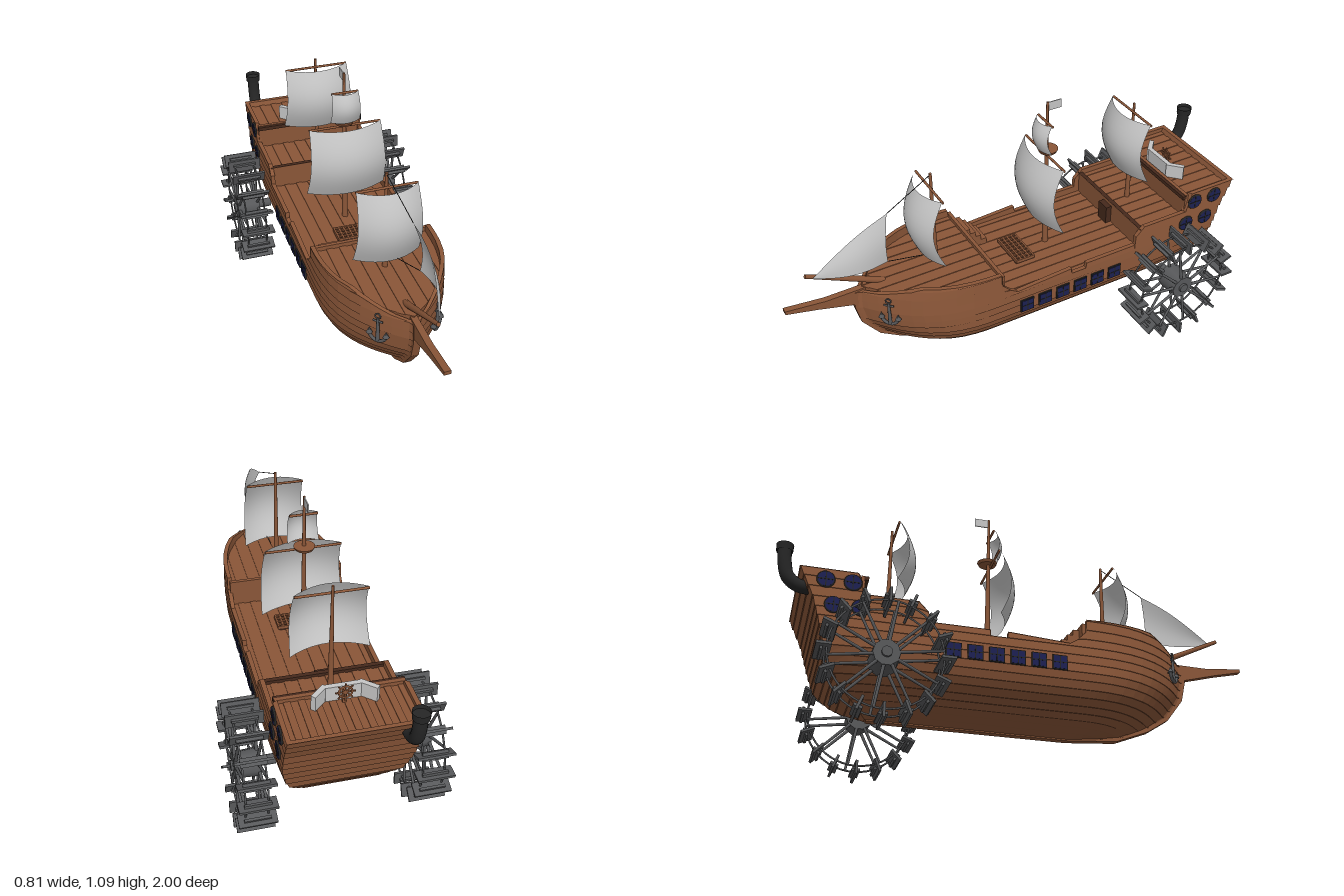
import * as THREE from 'three';
import { ParametricGeometry } from 'three/addons/geometries/ParametricGeometry.js';

const mat = (name, color, side = THREE.FrontSide) => {
  const m = new THREE.MeshStandardMaterial({ color, side });
  m.name = name;
  return m;
};
const V = (x, y, z) => new THREE.Vector3(x, y, z);

// Linear interpolation in a table of [key, value] pairs
function table(rows, k) {
  if (k <= rows[0][0]) return rows[0][1];
  for (let i = 1; i < rows.length; i++) {
    const [a, va] = rows[i - 1], [b, vb] = rows[i];
    if (k <= b) return va + (vb - va) * (k - a) / (b - a);
  }
  return rows[rows.length - 1][1];
}

// Hull lines: stern and bow reach, half width by height, top edge by length
const STERN = [[.125, -.6], [.2, -.716], [.29, -.786], [.5, -.85], [.62, -.907]];
const BOW = [[.125, .2], [.147, .41], [.2, .54], [.26, .63], [.345, .7], [.43, .72], [.5, .715], [.56, .7]];
const WIDTH = [[.125, .012], [.17, .11], [.22, .18], [.27, .222], [.32, .24], [.4, .245]];
const SHEER = [[-.905, .615], [-.69, .615], [-.688, .53], [-.46, .53], [-.42, .49], [-.418, .45], [-.18, .45],
  [-.178, .425], [-.112, .425], [-.11, .45], [.14, .435], [.17, .455], [.205, .49], [.21, .545], [.4, .55],
  [.52, .555], [.6, .53], [.66, .51], [.72, .5]];
const BEND = 2.8;

function hullPoint(zc, row, out) {
  const y = Math.min(row, table(SHEER, zc)), w = table(WIDTH, y);
  const zb = table(BOW, y), zs = table(STERN, y);
  let z = zc, x = w;
  if (zc > .2) {
    const q = (zc - .2) / .52;
    z = .2 + q * (zb - .2);
    x = Math.max(.012, w * (1 - q ** BEND));
  } else if (zc < -.45) {
    const q = (zc + .45) / -.455;
    z = -.45 + q * (zs - out + .45);
    x = w * (1 - Math.max(0, .4 - y) * .8 * q * q);
  }
  return V(Math.max(.004, x + out), y, z);
}

// Closed rings of lapped strakes, finished with a rail cap and an inner wall
function hullGeometry() {
  const zs = [...SHEER.map(p => p[0]), -.8, -.6, .27, .33, .46, .56, .63, .69, .705].sort((a, b) => a - b);
  const ys = [.125, .14, .155, .17, .19, .21, .235, .26, .29, .32, .355, .39, .425, .46, .5, .54, .58, .62];
  const rows = [];
  for (let i = 0; i < ys.length - 1; i++) rows.push([ys[i], .004], [ys[i + 1], 0]);
  rows.push([.62, .004], [.62, -.014], [.4, -.014]);
  const pos = [], idx = [], n = zs.length * 2;
  for (const [y, out] of rows) {
    const side = zs.map(z => hullPoint(z, y, out));
    side.forEach(p => pos.push(p.x, p.y, p.z));
    side.reverse().forEach(p => pos.push(-p.x, p.y, p.z));
  }
  for (let r = 0; r < rows.length - 1; r++) for (let i = 0; i < n; i++) {
    const a = r * n + i, b = r * n + (i + 1) % n;
    idx.push(a, a + n, b, b, a + n, b + n);
  }
  const g = new THREE.BufferGeometry();
  g.setAttribute('position', new THREE.Float32BufferAttribute(pos, 3));
  g.setIndex(idx);
  const flat = g.toNonIndexed();
  flat.computeVertexNormals();
  return flat;
}

export function createModel() {
  const ship = new THREE.Group();
  ship.name = 'paddleShip';
  const wood = mat('wood', 0x8a5638, THREE.DoubleSide), darkWood = mat('darkWood', 0x45291c);
  const cloth = mat('cloth', 0xc6c6c6, THREE.DoubleSide), metal = mat('metal', 0x58595b);
  const black = mat('blackIron', 0x262626, THREE.DoubleSide), glass = mat('glass', 0x1c2052);

  const add = (name, geo, m, x = 0, y = 0, z = 0, parent = ship) => {
    const mesh = new THREE.Mesh(geo, m);
    mesh.name = name;
    mesh.position.set(x, y, z);
    parent.add(mesh);
    return mesh;
  };
  const box = (name, m, w, h, d, x, y, z, parent) => add(name, new THREE.BoxGeometry(w, h, d), m, x, y, z, parent);
  const rod = (name, m, a, b, r0, r1 = r0, parent = ship) => {
    const d = b.clone().sub(a), c = a.clone().add(b).multiplyScalar(.5);
    const mesh = add(name, new THREE.CylinderGeometry(r1, r0, d.length(), 10), m, c.x, c.y, c.z, parent);
    mesh.quaternion.setFromUnitVectors(V(0, 1, 0), d.normalize());
    return mesh;
  };
  const group = (name, x, y, z, parent = ship) => {
    const g = new THREE.Group();
    g.name = name;
    g.position.set(x, y, z);
    parent.add(g);
    return g;
  };
  // Upright plate from a [z, y] outline
  const plate = (name, m, pts, width) => {
    const g = new THREE.ExtrudeGeometry(new THREE.Shape(pts.map(p => new THREE.Vector2(...p))), { depth: width, bevelEnabled: false });
    add(name, g.rotateY(-Math.PI / 2).translate(width / 2, 0, 0), m);
  };

  // Hull, stem, keel and beak
  add('hull', hullGeometry(), wood);
  plate('stemAndKeel', wood, [[.725, .5], [.732, .43], [.712, .345], [.642, .252], [.55, .192], [.41, .137], [.2, .12],
    [-.6, .12], [-.6, .14], [.2, .14], [.41, .17], [.53, .23], [.62, .3], [.67, .38], [.69, .5]], .03);
  plate('beak', wood, [[.69, .43], [.8, .46], [.88, .482], [1, .51], [1, .525], [.84, .508], [.66, .51]], .026);
  rod('bowsprit', wood, V(0, .505, .6), V(0, .648, .902), .014, .008);

  // Decks of fore-and-aft planks, alternate ones slightly proud
  const deck = (name, y, z0, z1) => {
    const g = group(name, 0, 0, 0), n = 18, half = .236;
    const front = x => Math.min(z1, .2 + (1 - Math.min(1, Math.abs(x) / .24)) ** (1 / BEND) * (table(BOW, y) - .22));
    for (let i = 0; i < n; i++) {
      const a = -half + 2 * half * i / n, b = a + 2 * half / n;
      const s = new THREE.Shape([[a, -z0], [a, -front(a)], [b, -front(b)], [b, -z0]].map(p => new THREE.Vector2(...p)));
      const geo = new THREE.ExtrudeGeometry(s, { depth: .02, bevelEnabled: false }).rotateX(-Math.PI / 2);
      add('deckPlank', geo, wood, 0, y - .02 - (i % 2) * .003, 0, g);
    }
  };
  deck('mainDeck', .42, -.45, .2);
  deck('foreDeck', .515, .2, .7);
  deck('quarterDeck', .505, -.69, -.45);
  deck('poopDeck', .597, -.885, -.67);
  box('foreBulkhead', wood, .48, .13, .015, 0, .465, .2);
  box('quarterBulkhead', wood, .48, .11, .015, 0, .46, -.45);
  box('poopBulkhead', wood, .48, .12, .015, 0, .55, -.672);
  box('quarterBeam', darkWood, .485, .016, .018, 0, .508, -.452);
  box('poopBeam', darkWood, .485, .016, .018, 0, .6, -.66);
  box('cabinDoor', darkWood, .06, .08, .03, 0, .46, -.432);
  for (let i = 0; i < 4; i++) box('foreStep', wood, .1, .024 * (i + 1), .025, -.155, .42 + .012 * (i + 1), .105 + i * .025);

  // Hatch grating
  box('hatchWell', darkWood, .165, .012, .085, 0, .423, .01);
  for (let i = 0; i < 9; i++) box('hatchBar', wood, .007, .012, .085, -.08 + i * .02, .43, .01);
  for (let i = 0; i < 5; i++) box('hatchBar', wood, .165, .012, .007, 0, .43, -.029 + i * .0195);

  // Masts, yards and billowing square sails
  const sail = (name, z, y0, y1, bottom, top, curve, billow) => {
    const g = new THREE.PlaneGeometry(2, 1, 14, 12), p = g.attributes.position;
    for (let i = 0; i < p.count; i++) {
      const u = p.getX(i), v = p.getY(i) + .5;
      p.setXYZ(i, u * (bottom + (top - bottom) * v), y0 + (y1 - y0) * v,
        z + .012 + curve * (1 - u * u) + billow * Math.sin(Math.PI * v));
    }
    g.computeVertexNormals();
    add(name, g, cloth);
    rod('yard', wood, V(-top, y1 - .004, z + .008), V(top, y1 - .004, z + .008), .005);
  };
  rod('foreMast', wood, V(0, .5, .375), V(0, .93, .375), .011, .006);
  rod('mainMast', wood, V(0, .41, -.13), V(0, 1.09, -.13), .013, .005);
  rod('mizzenMast', wood, V(0, .5, -.542), V(0, .965, -.542), .011, .005);
  sail('foreSail', .375, .58, .876, .133, .12, .05, .045);
  sail('mainSail', -.13, .57, .864, .167, .15, .05, .045);
  sail('mainTopSail', -.13, .885, 1.012, .062, .055, .025, .02);
  sail('mizzenSail', -.542, .67, .935, .15, .135, .05, .042);
  add('crowsNest', new THREE.CylinderGeometry(.042, .036, .012, 16), wood, 0, .873, -.135);
  box('flag', cloth, .004, .036, .058, 0, 1.07, -.162);

  // Jib and its ropes
  const tack = V(.012, .635, .878), clew = V(.055, .635, .594), head = V(.03, .835, .572);
  add('jib', new ParametricGeometry((u, v, t) => {
    const leech = clew.clone().lerp(head, v), bulge = Math.sin(Math.PI * u);
    t.copy(tack).lerp(leech, u);
    t.x += .035 * bulge * (1 - .4 * v) + .015 * u * Math.sin(Math.PI * v);
    t.y += .038 * bulge * v;
    t.z += .012 * u * Math.sin(Math.PI * v);
  }, 12, 10), cloth);
  rod('jibRope', black, head, V(0, .925, .375), .0015);
  rod('jibRope', black, clew, V(.02, .57, .39), .0015);

  // Bent screen and steering wheel on the poop
  box('screenCentre', cloth, .13, .06, .02, 0, .627, -.7);
  for (const s of [-1, 1]) box('screenSide', cloth, .075, .06, .02, s * .09, .627, -.718).rotation.y = s * .75;
  const helm = group('steeringWheel', 0, .65, -.735);
  add('wheelRim', new THREE.TorusGeometry(.024, .004, 6, 20), wood, 0, 0, 0, helm);
  for (let i = 0; i < 4; i++) box('wheelSpoke', wood, .074, .005, .005, 0, 0, 0, helm).rotation.z = i * Math.PI / 4;
  box('wheelPost', wood, .014, .055, .014, 0, .623, -.72);

  // Smoke stack curving up from the transom
  const bend = new THREE.CatmullRomCurve3([V(-.19, .555, -.85), V(-.19, .56, -.905), V(-.19, .59, -.945), V(-.19, .64, -.961), V(-.19, .7, -.967)]);
  add('smokeStack', new THREE.TubeGeometry(bend, 20, .026, 16), black);
  add('stackRim', new THREE.CylinderGeometry(.033, .031, .03, 16, 1, true), black, -.19, .708, -.967);
  add('stackMouth', new THREE.CylinderGeometry(.031, .031, .006, 16), black, -.19, .705, -.967);

  for (const s of [-1, 1]) {
    // Square windows along the waist
    for (let i = 0; i < 6; i++) {
      const w = group('squareWindow', s * .2475, .348, .096 - i * .0835);
      box('windowFrame', black, .006, .06, .06, 0, 0, 0, w);
      box('windowPane', glass, .009, .052, .052, 0, 0, 0, w);
      box('windowBar', black, .011, .052, .004, 0, 0, 0, w);
      box('windowBar', black, .011, .004, .052, 0, 0, 0, w);
    }
    // Round windows at the stern
    for (const [z, y] of [[-.71, .57], [-.81, .57], [-.675, .47], [-.775, .47]]) {
      const w = group('roundWindow', s * .25, y, z);
      add('roundPane', new THREE.CylinderGeometry(.03, .03, .009, 20).rotateZ(Math.PI / 2), glass, 0, 0, 0, w);
      add('roundFrame', new THREE.TorusGeometry(.03, .005, 6, 20).rotateY(Math.PI / 2), black, 0, 0, 0, w);
      box('roundBar', black, .012, .058, .004, 0, 0, 0, w);
      box('roundBar', black, .012, .004, .058, 0, 0, 0, w);
    }
    // Anchors hung at the bow
    const anchor = group('anchor', s * .117, 0, .632);
    anchor.rotation.y = s * .8;
    add('anchorRing', new THREE.TorusGeometry(.011, .003, 6, 14), metal, 0, .498, 0, anchor);
    rod('anchorShank', metal, V(0, .385, 0), V(0, .488, 0), .008, .005, anchor);
    rod('anchorStock', metal, V(-.02, .475, 0), V(.02, .475, 0), .004, .004, anchor);
    add('anchorArms', new THREE.TorusGeometry(.034, .007, 6, 16, Math.PI).rotateZ(Math.PI), metal, 0, .417, 0, anchor);
    for (const k of [-1, 1]) add('anchorFluke', new THREE.ConeGeometry(.013, .026, 6), metal, k * .034, .424, 0, anchor);

    // Paddle wheels
    const wheel = group('paddleWheel', s * .3325, .247, -.588);
    rod('axle', metal, V(-s * .11, 0, 0), V(s * .06, 0, 0), .02, .02, wheel);
    rod('hub', metal, V(-s * .05, 0, 0), V(s * .05, 0, 0), .056, .05, wheel);
    for (const x of [-.042, .042]) {
      add('rim', new THREE.TorusGeometry(.208, .004, 6, 48).rotateY(Math.PI / 2), metal, x, 0, 0, wheel);
      for (let i = 0; i < 10; i++) {
        const a = i * Math.PI / 5 + .16;
        rod('spoke', metal, V(x, 0, 0), V(x, .21 * Math.cos(a), .21 * Math.sin(a)), .007, .005, wheel);
      }
    }
    for (let i = 0; i < 16; i++) {
      const arm = group('paddle', 0, 0, 0, wheel);
      arm.rotation.x = i * Math.PI / 8;
      box('blade', metal, .144, .055, .01, 0, .2195, 0, arm);
      box('bladeFoot', metal, .1, .01, .034, 0, .226, 0, arm);
    }
  }
  return ship;
}
